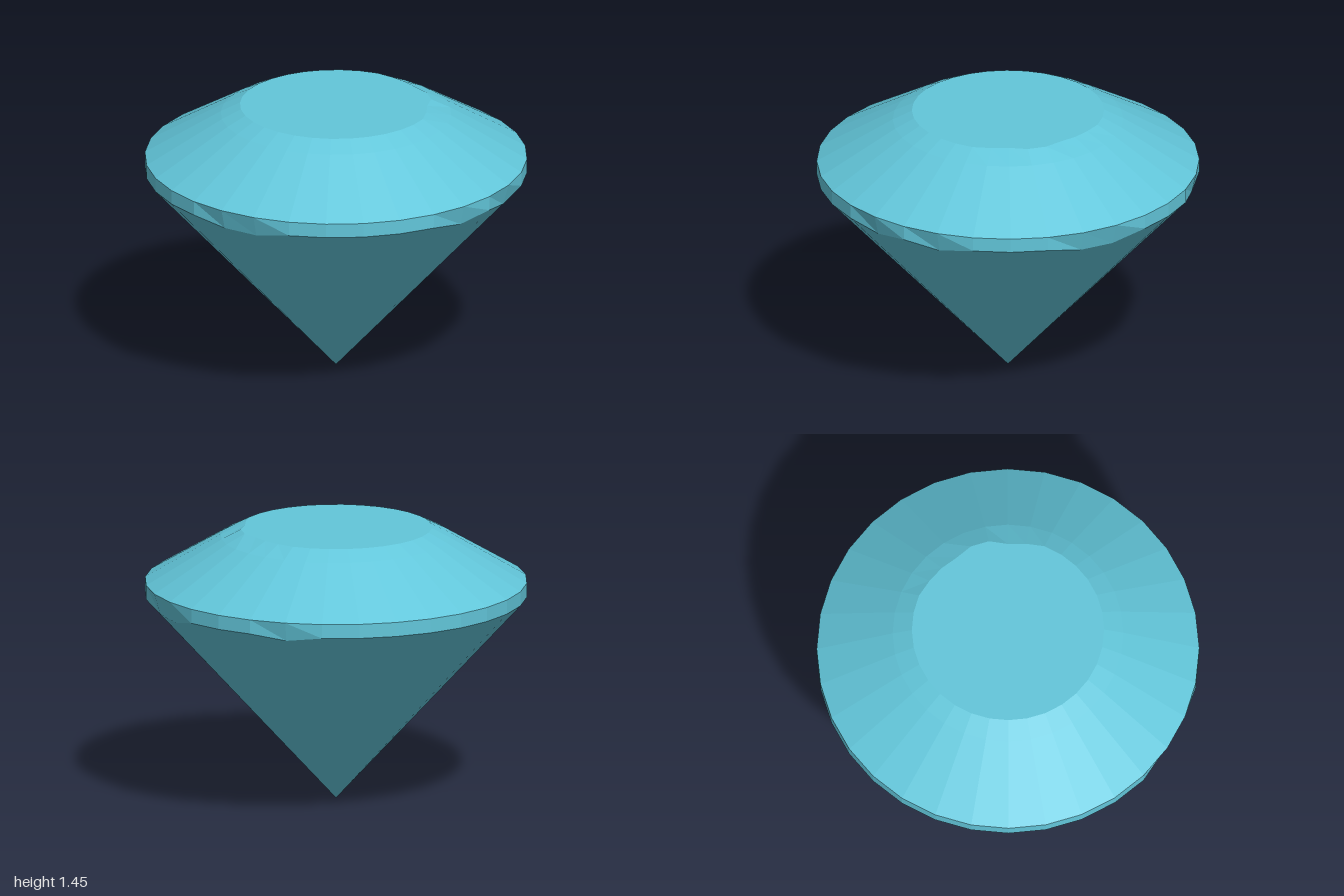
import * as THREE from 'three';

const SIDES = 32;
const GIRDLE_Y = 1.09, CROWN_Y = 1.165, TABLE_Y = 1.45;

// Chips: facet index (counted from +z towards +x) -> changed value
const girdleChips = { 3: 1.06, 5: 1.055, 9: 1.055, 10: 1.05, 14: 1.065, 28: 1.06, 29: 1.055 };
const tableChips = { 6: 0.485, 7: 0.475, 10: 0.48, 11: 0.485, 12: 0.49 };

export function createModel() {
  const group = new THREE.Group();
  group.name = 'gem';
  const material = new THREE.MeshStandardMaterial({ color: 0x62c6da, flatShading: true });

  // One faceted band, from a [radius, height] profile running upwards
  function addBand(name, profile) {
    const geometry = new THREE.LatheGeometry(profile.map(([r, y]) => new THREE.Vector2(r, y)), SIDES);
    const position = geometry.attributes.position;
    for (let k = 0; k < position.count; k++) {
      const facet = Math.floor(k / profile.length) % SIDES;
      const [r, y] = profile[k % profile.length];
      const angle = (facet / SIDES) * Math.PI * 2;
      let radius = r, height = y;
      // chipped girdle edge slides down the pavilion cone
      if (y === GIRDLE_Y && girdleChips[facet]) {
        height = girdleChips[facet];
        radius = r * height / GIRDLE_Y;
      }
      // slightly worn table edge
      if (y === TABLE_Y && r > 0 && tableChips[facet]) radius = tableChips[facet];
      position.setXYZ(k, radius * Math.sin(angle), height, radius * Math.cos(angle));
    }
    geometry.computeVertexNormals();
    const mesh = new THREE.Mesh(geometry, material);
    mesh.name = name;
    group.add(mesh);
  }

  addBand('pavilion', [[0, 0], [0.995, GIRDLE_Y]]);
  addBand('girdle', [[0.995, GIRDLE_Y], [0.995, CROWN_Y]]);
  addBand('crown', [[0.995, CROWN_Y], [0.6, 1.4], [0.5, TABLE_Y]]);
  addBand('table', [[0.5, TABLE_Y], [0, TABLE_Y]]);
  return group;
}
